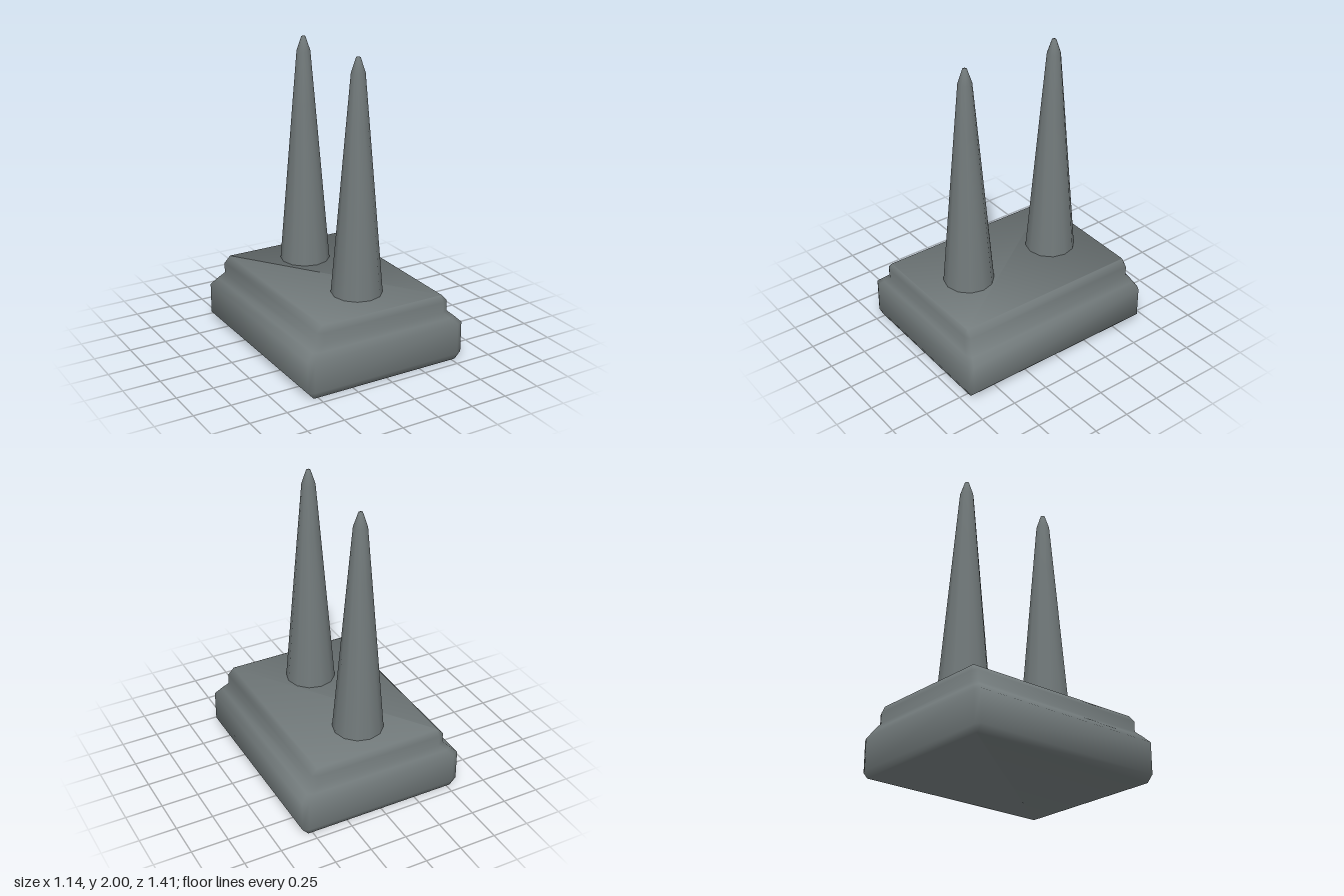
import * as THREE from 'three';

const stone = new THREE.MeshStandardMaterial({ color: 0x727a7b });
stone.name = 'greyStone';

// Base profile, bottom to top: half width, half depth, height
const RINGS = [
  [0.53, 0.685, 0], [0.57, 0.705, 0.045], [0.57, 0.705, 0.255], [0.525, 0.682, 0.3],
  [0.48, 0.66, 0.34], [0.48, 0.66, 0.41], [0.44, 0.64, 0.455],
];

// Stack of rectangles with cut corners; every face weighs the same in the soft normals
function steppedBase() {
  const corners = [];
  RINGS.forEach(([w, d, y], i) => {
    // the end rings lie on the bevels, so their corners are cut very little
    const end = i === 0 || i === RINGS.length - 1;
    const cx = end ? 0.005 : 0.04, cz = end ? 0.003 : 0.02;
    [[w, d - cz], [w, cz - d], [w - cx, -d], [cx - w, -d],
      [-w, cz - d], [-w, d - cz], [cx - w, d], [w - cx, d]]
      .forEach(([x, z]) => corners.push(new THREE.Vector3(x, y, z)));
  });

  const faces = [];
  for (let r = 0; r < RINGS.length - 1; r++) {
    for (let i = 0; i < 8; i++) {
      const a = r * 8 + i, b = r * 8 + (i + 1) % 8;
      faces.push([a, b, b + 8, a + 8]);
    }
  }
  const loop = [0, 1, 2, 3, 4, 5, 6, 7];
  faces.push([...loop].reverse(), loop.map((i) => i + (RINGS.length - 1) * 8));

  const normals = corners.map(() => new THREE.Vector3());
  const index = [];
  for (const f of faces) {
    // diagonals give a stable normal for each flat face
    const h = f.length / 4;
    const n = corners[f[2 * h]].clone().sub(corners[f[0]])
      .cross(corners[f[3 * h]].clone().sub(corners[f[h]])).normalize();
    f.forEach((i) => normals[i].add(n));
    for (let i = 1; i < f.length - 1; i++) index.push(f[0], f[i], f[i + 1]);
  }
  normals.forEach((n) => n.normalize());

  const geo = new THREE.BufferGeometry();
  geo.setAttribute('position', new THREE.Float32BufferAttribute(corners.flatMap((v) => v.toArray()), 3));
  geo.setAttribute('normal', new THREE.Float32BufferAttribute(normals.flatMap((v) => v.toArray()), 3));
  geo.setIndex(index);
  return geo;
}

export function createModel() {
  const model = new THREE.Group();
  model.name = 'twinSpikes';

  const base = new THREE.Mesh(steppedBase(), stone);
  base.name = 'steppedBase';
  model.add(base);

  // Twelve-sided tapering spike with a blunt point
  const profile = [[0.168, 0.45], [0.075, 1.55], [0.045, 1.9], [0.014, 1.995], [0, 2]]
    .map(([r, y]) => new THREE.Vector2(r, y));
  const spikeGeo = new THREE.LatheGeometry(profile, 12);
  [['frontSpike', 0.317], ['backSpike', -0.362]].forEach(([name, z]) => {
    const spike = new THREE.Mesh(spikeGeo, stone);
    spike.name = name;
    spike.position.z = z;
    model.add(spike);
  });

  return model;
}
